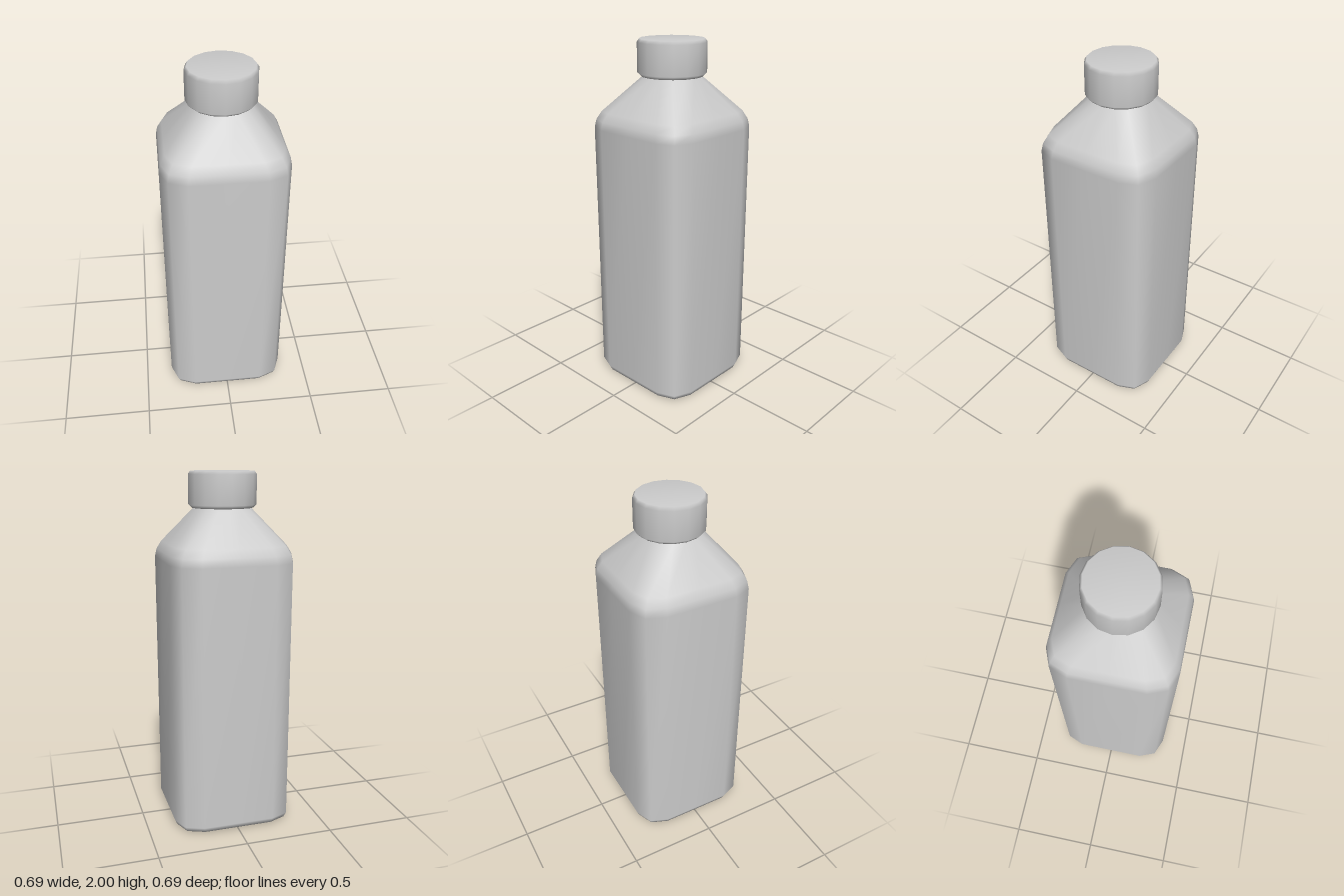
import * as THREE from 'three';

const SIDES = 16;

// One octant of the chamfered square section, relative to half-width 1: [flat, chamfer, corner, chamfer]
const SQUARE = [[1, 0], [1, 0.594], [0.884, 0.884], [0.594, 1]];

// Section point i; round = 0 gives the chamfered square, 1 the circle
function sectionPoint(i, round) {
  const a = (i / SIDES) * Math.PI * 2;
  const [u, v] = SQUARE[i % 4];
  const q = Math.floor(i / 4) * Math.PI / 2;
  const sx = u * Math.cos(q) - v * Math.sin(q);
  const sz = u * Math.sin(q) + v * Math.cos(q);
  return [
    THREE.MathUtils.lerp(sx, Math.cos(a), round),
    THREE.MathUtils.lerp(sz, Math.sin(a), round),
  ];
}

// Closed smooth loft through rings of [y, half-width, roundness], listed bottom to top
function loft(rings) {
  const pos = [];
  const index = [];
  for (const [y, r, round] of rings) {
    for (let i = 0; i < SIDES; i++) {
      const [x, z] = sectionPoint(i, round);
      pos.push(x * r, y, z * r);
    }
  }
  const bottom = rings.length * SIDES;
  const top = bottom + 1;
  pos.push(0, rings[0][0], 0, 0, rings[rings.length - 1][0], 0);
  const last = (rings.length - 1) * SIDES;
  for (let i = 0; i < SIDES; i++) {
    const j = (i + 1) % SIDES;
    for (let k = 0; k < rings.length - 1; k++) {
      const a = k * SIDES + i, b = k * SIDES + j;
      index.push(a, a + SIDES, b, b, a + SIDES, b + SIDES);
    }
    index.push(bottom, i, j, top, last + j, last + i);
  }
  const g = new THREE.BufferGeometry();
  g.setAttribute('position', new THREE.Float32BufferAttribute(pos, 3));
  g.setIndex(index);
  g.computeVertexNormals();
  return g;
}

export function createModel() {
  const group = new THREE.Group();
  group.name = 'bottle';
  const plastic = new THREE.MeshStandardMaterial({ color: 0xcccccc });
  plastic.name = 'grey plastic';

  const add = (name, rings) => {
    const mesh = new THREE.Mesh(loft(rings), plastic);
    mesh.name = name;
    group.add(mesh);
  };

  // Square body with rounded base, sloping shoulder and round neck
  add('body', [
    [0, 0.305, 0],
    [0.01, 0.332, 0],
    [0.04, 0.345, 0],
    [1.52, 0.345, 0],
    [1.565, 0.336, 0],
    [1.61, 0.311, 0],
    [1.8, 0.163, 1],
    [1.83, 0.155, 1],
  ]);

  // Round screw cap with small bevels
  add('cap', [
    [1.803, 0.172, 1],
    [1.82, 0.19, 1],
    [1.982, 0.19, 1],
    [2, 0.177, 1],
  ]);

  return group;
}
